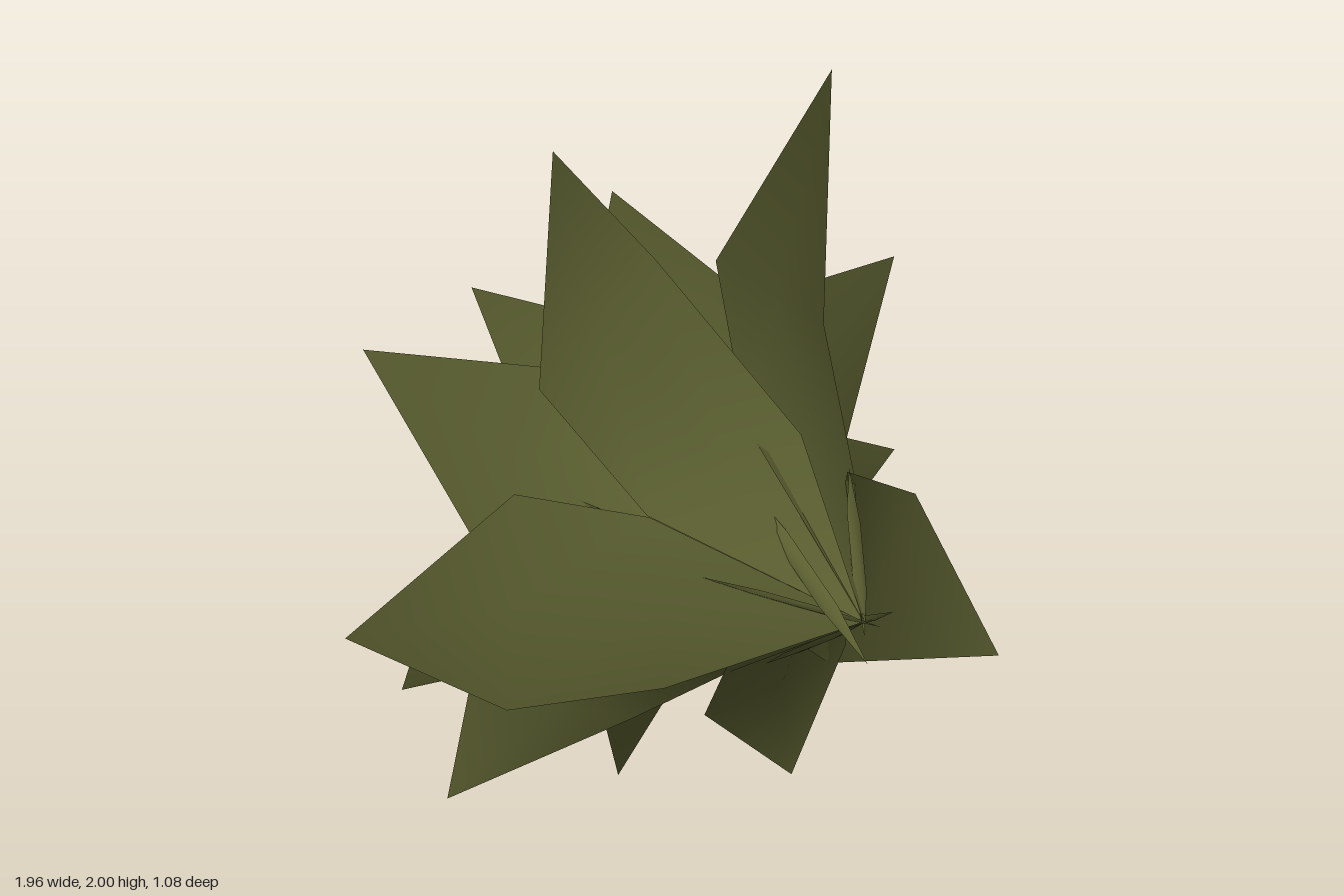
import * as THREE from 'three';

const V = (p) => new THREE.Vector3(...p);

// Folded blade: root point, two cross-sections (left / midrib / right) and a tip
function blade(name, material, root, tip, l2, r2, l1, r1, bulge) {
  const R = V(root), T = V(tip);
  const out = V(r1).sub(V(l1)).cross(T.clone().sub(R)).normalize();
  if (out.z < 0) out.negate();
  const section = (l, r, k) => {
    const a = V(l), b = V(r);
    return [a, a.clone().lerp(b, 0.5).addScaledVector(out, k), b];
  };
  const pts = [R, ...section(l1, r1, bulge), ...section(l2, r2, bulge * 0.7), T];
  const index = [0, 2, 1, 0, 3, 2];
  for (const i of [1, 2]) index.push(i, i + 1, i + 4, i, i + 4, i + 3);
  index.push(4, 5, 7, 5, 6, 7);
  const g = new THREE.BufferGeometry().setFromPoints(pts);
  g.setIndex(index);
  g.computeVertexNormals();
  // make every blade's front point outward
  if (g.attributes.normal.getZ(2) < 0) {
    g.setIndex(index.reverse());
    g.computeVertexNormals();
  }
  const mesh = new THREE.Mesh(g, material);
  mesh.name = name;
  return mesh;
}

export function createModel() {
  const model = new THREE.Group();
  model.name = 'rosettePlant';
  const olive = new THREE.MeshStandardMaterial({ color: 0x5b5f30, side: THREE.DoubleSide });
  olive.name = 'olive leaf';
  const root = [0.08, 0.9, 0.42];

  // Outer whorl
  const outer = new THREE.Group();
  outer.name = 'outerLeaves';
  const addOuter = (name, ...p) => outer.add(blade(name, olive, root, ...p, 0.035));
  addOuter('rightLeaf', [-0.98, 0.94, -0.14], [-0.5, 1.15, -0.19], [-0.6, 0.63, -0.1], [-0.25, 1.1, 0.01], [-0.25, 0.65, 0.06]);
  addOuter('upperRightLeaf', [-0.34, 1.95, -0.22], [-0.42, 1.4, -0.19], [-0.06, 1.63, -0.24], [-0.25, 1.1, 0], [0.18, 1.21, 0.03]);
  addOuter('upperLeftLeaf', [0.48, 2, -0.27], [0.1, 1.6, -0.22], [0.51, 1.31, -0.32], [0.05, 1.25, -0.02], [0.42, 1, -0.06]);
  addOuter('lowerLeftLeaf', [0.98, 0.26, -0.07], [0.74, 0.8, -0.19], [0.43, 0.38, -0.16], [0.35, 1.05, 0], [0.2, 0.6, -0.02]);
  addOuter('bottomLeaf', [0.36, 0, -0.23], [0.47, 0.43, -0.14], [0.07, 0.3, -0.24], [0.38, 0.79, 0.02], [-0.05, 0.65, 0.05]);
  addOuter('lowerRightLeaf', [-0.7, 0.32, -0.26], [-0.6, 0.63, -0.28], [-0.21, 0.44, -0.15], [-0.3, 0.75, -0.04], [0, 0.57, -0.02]);

  // Inner whorl, broader at the base and reaching further back
  const inner = new THREE.Group();
  inner.name = 'innerLeaves';
  const core = [0.07, 0.9, 0.3];
  const addInner = (name, ...p) => inner.add(blade(name, olive, core, ...p, 0.03));
  addInner('innerUpperLeft', [0.88, 1.37, -0.49], [0.35, 1.39, -0.4], [0.62, 0.87, -0.37], [0.15, 1.23, -0.2], [0.37, 0.85, -0.17]);
  addInner('innerLeft', [0.9, 0.78, -0.48], [0.62, 0.92, -0.44], [0.56, 0.61, -0.37], [0.15, 1.06, -0.23], [0.36, 0.57, -0.26]);
  addInner('innerBottom', [-0.07, 0.03, -0.47], [0.19, 0.49, -0.37], [-0.23, 0.45, -0.3], [0.18, 0.68, -0.2], [-0.13, 0.7, -0.1]);
  addInner('innerLowerRight', [-0.7, 0.53, -0.48], [-0.63, 0.79, -0.42], [-0.2, 0.55, -0.35], [-0.34, 1.08, -0.28], [-0.04, 0.77, -0.12]);
  addInner('innerRight', [-0.71, 1.46, -0.51], [-0.28, 1.355, -0.38], [-0.53, 0.95, -0.33], [-0.1, 1.22, -0.2], [-0.28, 0.9, -0.18]);
  addInner('innerUpperRight', [-0.4, 1.54, -0.54], [0.06, 1.35, -0.43], [-0.3, 1.09, -0.42], [0.12, 1.15, -0.22], [-0.13, 1, -0.2]);
  addInner('innerTop', [-0.03, 1.73, -0.48], [-0.22, 1.4, -0.33], [0.28, 1.44, -0.42], [-0.17, 1.18, -0.14], [0.24, 1.15, -0.18]);

  // Slim shoots around the base
  const shoots = new THREE.Group();
  shoots.name = 'baseShoots';
  const addShoot = (start, end, w) => {
    const at = (t, s) => V(start).lerp(V(end), t).addScaledVector(V(w), s).toArray();
    shoots.add(blade('shoot', olive, start, end, at(0.7, 1), at(0.7, -1), at(0.3, 1), at(0.3, -1), 0.008));
  };
  addShoot([0, 0.87, 0.54], [0, 1.14, 0.04], [0.01, 0.01, 0.02]);
  addShoot([0.11, 0.95, 0.49], [0.1, 0.75, 0.18], [0.012, 0, 0.02]);
  addShoot([0.06, 0.88, 0.45], [0.34, 1.07, 0.02], [0.01, -0.015, 0.015]);
  addShoot([0.06, 0.91, 0.44], [0.3, 0.92, 0.04], [0, 0.013, 0]);
  addShoot([0.11, 0.89, 0.45], [-0.18, 0.97, 0.13], [0.005, 0.01, 0.015]);
  addShoot([0.06, 0.92, 0.45], [0.07, 0.6, 0.04], [0.02, 0, 0.01]);

  model.add(outer, inner, shoots);
  return model;
}
